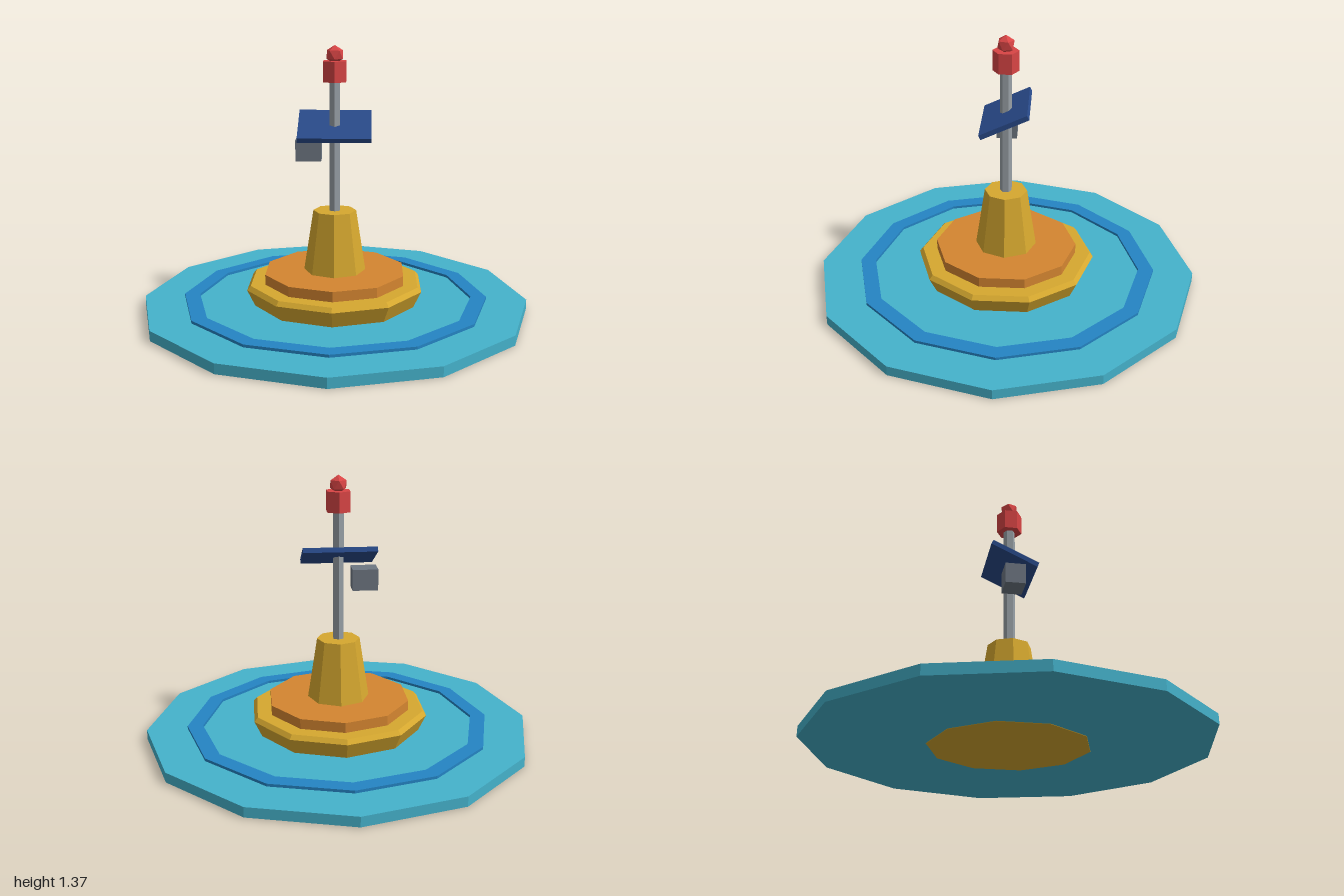
import * as THREE from 'three';

const paint = (name, color) => {
  const m = new THREE.MeshStandardMaterial({ color, flatShading: true });
  m.name = name;
  return m;
};

export function createModel() {
  const buoy = new THREE.Group();
  buoy.name = 'buoy';

  const water = paint('water', 0x45b2cb);
  const ripple = paint('ripple blue', 0x2484c4);
  const yellow = paint('hull yellow', 0xd6a82f);
  const orange = paint('deck orange', 0xd48530);
  const steel = paint('pole grey', 0x98a0a6);
  const boxGrey = paint('box grey', 0x6e7782);
  const solar = paint('panel blue', 0x294a8a);
  const red = paint('lamp red', 0xd84545);

  const add = (name, geometry, material, x = 0, y = 0, z = 0) => {
    const mesh = new THREE.Mesh(geometry, material);
    mesh.name = name;
    mesh.position.set(x, y, z);
    buoy.add(mesh);
    return mesh;
  };
  // Faceted drum standing between two heights
  const drum = (name, material, rBottom, rTop, y0, y1, sides) =>
    add(name, new THREE.CylinderGeometry(rTop, rBottom, y1 - y0, sides), material, 0, (y0 + y1) / 2);
  // Faceted solid turned from [radius, height] pairs
  const turned = (name, material, profile, sides) =>
    add(name, new THREE.LatheGeometry(profile.map(p => new THREE.Vector2(...p)), sides), material);

  // Water disc and raised ripple ring
  drum('waterDisc', water, 1, 1, 0.002, 0.053, 12);
  turned('rippleRing', ripple, [[0.71, 0.004], [0.79, 0.004], [0.79, 0.067], [0.71, 0.067], [0.71, 0.004]], 12);

  // Float: flared hull reaching through the water, deck and tapered tower
  turned('hull', yellow, [[0, 0], [0.4, 0], [0.465, 0.138], [0.446, 0.16], [0, 0.16]], 10);
  drum('deck', orange, 0.37, 0.37, 0.155, 0.212, 10);
  drum('tower', yellow, 0.16, 0.11, 0.205, 0.528, 8);

  // Mast with lamp and its pointed cap
  drum('mast', steel, 0.03, 0.03, 0.5, 1.2, 6);
  drum('lamp', red, 0.066, 0.066, 1.188, 1.292, 6);
  const cap = new THREE.IcosahedronGeometry(0.047, 0);
  cap.rotateZ(Math.atan(2 / (1 + Math.sqrt(5)))); // one corner straight up
  cap.rotateY(-Math.PI / 2);
  add('lampCap', cap, red, 0, 1.323);

  // Tilted solar panel and instrument box
  add('solarPanel', new THREE.BoxGeometry(0.37, 0.025, 0.26), solar, 0, 0.964).rotation.x = 0.44;
  add('instrumentBox', new THREE.BoxGeometry(0.13, 0.108, 0.104), boxGrey, -0.132, 0.845);

  return buoy;
}
